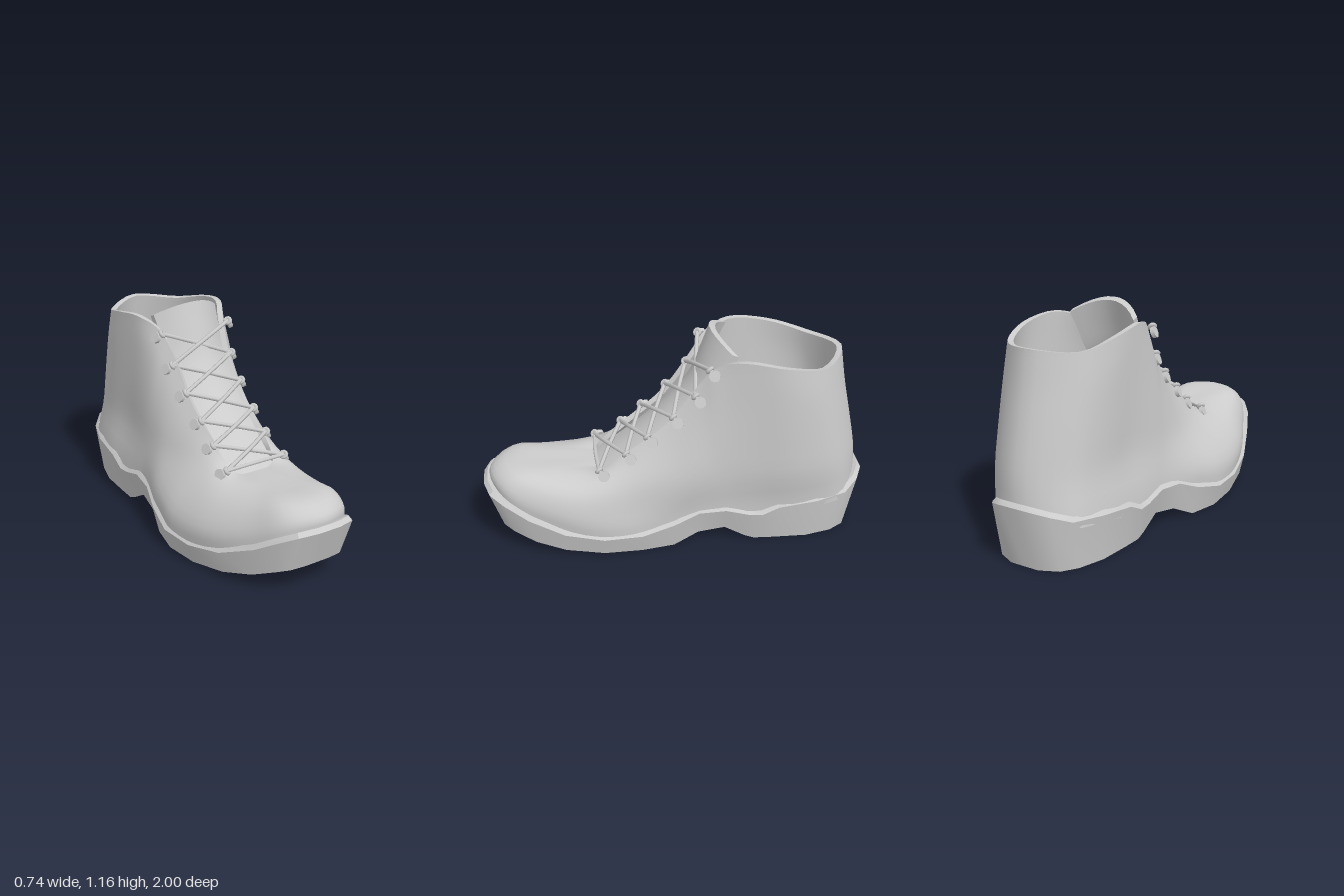
import * as THREE from 'three';
import { toCreasedNormals } from 'three/addons/utils/BufferGeometryUtils.js';

const V = (x, y, z) => new THREE.Vector3(x, y, z);
const material = new THREE.MeshStandardMaterial({ color: 0xcccccc, side: THREE.DoubleSide });

function addMesh(parent, name, geometry) {
  const mesh = new THREE.Mesh(geometry, material);
  mesh.name = name;
  parent.add(mesh);
  return mesh;
}

// Skin over closed rows of points; every row runs the same way round.
function skin(rows, crease) {
  const n = rows[0].length, index = [];
  for (let r = 0; r < rows.length - 1; r++) {
    for (let i = 0; i < n; i++) {
      const j = (i + 1) % n, a = r * n + i, b = r * n + j;
      index.push(a, b, b + n, a, b + n, a + n);
    }
  }
  const geometry = new THREE.BufferGeometry().setFromPoints(rows.flat());
  geometry.setIndex(index);
  return toCreasedNormals(geometry, crease);
}

// Centre line of the foot: curved along the sole, leaning to the left higher up.
const SOLE_CENTRE = [0.055, 0.05, 0.04, 0.03, 0.025, 0, -0.008, 0.004, 0.018, 0.037, 0.05];
function centre(y, z) {
  const t = THREE.MathUtils.clamp((z + 1) * 5, 0, 9.999), i = Math.floor(t);
  const low = THREE.MathUtils.lerp(SOLE_CENTRE[i], SOLE_CENTRE[i + 1], t - i);
  const high = 0.05 + 0.03 * THREE.MathUtils.smoothstep(-z, 0.15, 0.55);
  return THREE.MathUtils.lerp(low, high, THREE.MathUtils.smoothstep(y, 0.2, 0.48));
}

// Columns of the upper from sole to top edge: half width, y, z.
const FOREFOOT = [
  [[0, .34, .965], [0, .41, .965], [0, .465, .88], [0, .445, .64], [0, .43, .42]],
  [[.17, .31, .9], [.17, .39, .895], [.15, .453, .82], [.07, .445, .62], [.05, .43, .42]],
  [[.25, .21, .75], [.255, .31, .735], [.215, .405, .69], [.125, .437, .57], [.09, .43, .41]],
  [[.325, .12, .5], [.332, .23, .5], [.28, .355, .48], [.2, .425, .44], [.125, .45, .385]],
  [[.345, .09, .25], [.342, .21, .25], [.285, .365, .24], [.215, .48, .24], [.15, .56, .245]],
  [[.315, .12, .05], [.317, .26, .05], [.275, .44, .04], [.22, .6, .04], [.16, .72, .048]],
];
const SHAFT = [
  [[.29, .18, -.15], [.288, .38, -.14], [.265, .6, -.12], [.218, .8, -.11], [.165, .91, -.09]],
  [[.286, .19, -.28], [.283, .42, -.26], [.27, .68, -.22], [.237, .9, -.19], [.2, 1.04, -.19]],
  [[.288, .16, -.42], [.283, .45, -.4], [.28, .7, -.36], [.268, .95, -.32], [.258, 1.085, -.31]],
  [[.287, .2, -.65], [.285, .45, -.64], [.288, .7, -.6], [.288, .9, -.57], [.282, 1.06, -.52]],
  [[.225, .22, -.88], [.22, .45, -.84], [.223, .7, -.785], [.222, .88, -.745], [.215, 1.015, -.72]],
  [[0, .25, -.975], [0, .45, -.96], [0, .66, -.92], [0, .85, -.88], [0, 1.03, -.85]],
];

function upperGeometry() {
  const half = [...FOREFOOT, ...SHAFT];
  const mirrored = half.slice(1, -1).reverse().map(col => col.map(([x, y, z]) => [-x, y, z]));
  const columns = [...half, ...mirrored];
  const around = columns.length * 4, up = 14;
  const rings = [0, 1, 2, 3, 4].map(k =>
    new THREE.CatmullRomCurve3(columns.map(c => V(...c[k])), true));
  const outer = Array.from({ length: up + 1 }, () => []);
  for (let i = 0; i < around; i++) {
    const column = new THREE.CatmullRomCurve3(rings.map(r => r.getPoint(i / around)));
    for (let k = 0; k <= up; k++) {
      const p = column.getPoint(k / up);
      p.x += centre(p.y, p.z);
      outer[k].push(p);
    }
  }
  // lining: the outside moved inwards along its normals
  const inner = outer.map((row, k) => row.map((p, i) => {
    const du = row[(i + 1) % around].clone().sub(row[(i + around - 1) % around]);
    const dv = outer[Math.min(k + 1, up)][i].clone().sub(outer[Math.max(k - 1, 0)][i]);
    return p.clone().addScaledVector(du.cross(dv).normalize(), -0.028);
  }));
  return skin([...outer, ...inner.reverse()], 0.9);
}

// Sole stations, toe to heel: z, y, half width at the bottom, then at the top edge.
const SOLE = [
  [.925, .155, .07, 1, .36, .06],
  [.91, .15, .15, .97, .35, .16],
  [.86, .13, .195, .9, .31, .215],
  [.75, .08, .245, .78, .235, .265],
  [.6, .04, .295, .6, .155, .322],
  [.4, .01, .325, .4, .115, .354],
  [.2, 0, .325, .2, .115, .358],
  [.03, 0, .295, .03, .155, .33],
  [-.1, .065, .27, -.1, .21, .305],
  [-.24, .085, .26, -.24, .22, .3],
  [-.35, .02, .26, -.36, .185, .3],
  [-.4, 0, .26, -.43, .18, .303],
  [-.5, 0, .262, -.52, .225, .304],
  [-.68, 0, .26, -.72, .245, .29],
  [-.82, 0, .225, -.88, .255, .24],
  [-.9, 0, .175, -.96, .29, .17],
  [-.945, 0, .08, -1, .31, .09],
];

function soleGeometry() {
  const rows = SOLE.map(([zb, yb, wb, zt, yt, wt]) => {
    const b = centre(0, zb), t = centre(0, zt), zi = zt * 0.98;
    return [
      V(b + wb, yb, zb), V(b - wb, yb, zb), V(t - wt, yt, zt),
      V(t - wt * 0.95, yt + 0.02, zi), V(t + wt * 0.95, yt + 0.02, zi), V(t + wt, yt, zt),
    ];
  });
  // each end closes on its own middle line
  const cap = row => {
    const middle = (row[0].x + row[1].x) / 2;
    return row.map(p => V(middle, p.y, p.z));
  };
  return skin([cap(rows[0]), ...rows, cap(rows.at(-1))], 0.6);
}

// Tongue: an arched strip that follows the throat and rises above it.
function tongueGeometry() {
  const path = new THREE.CatmullRomCurve3([
    V(0, .395, .44), V(0, .54, .245), V(0, .71, .06),
    V(0, .885, -.075), V(0, 1.04, -.135), V(0, 1.16, -.175)]);
  const rows = [], steps = 18, across = 10;
  for (let k = 0; k <= steps; k++) {
    const t = k / steps, p = path.getPoint(t);
    const width = THREE.MathUtils.lerp(0.14, 0.19, t), arch = THREE.MathUtils.lerp(0.03, 0.085, t);
    const strip = depth => Array.from({ length: across + 1 }, (_, i) => {
      const s = i / across * 2 - 1, lift = s * s;
      return V(0.055 + s * width, p.y - lift * 0.065 * t * t - depth * 0.4, p.z - lift * arch - depth);
    });
    rows.push([...strip(0), ...strip(0.032).reverse()]);
  }
  rows.push(rows.at(-1).map((p, i, row) => p.clone().lerp(row[row.length - 1 - i], 0.5)));
  return skin(rows, 0.8);
}

// Hook positions, top to bottom: offset from the centre line, y, z.
const HOOKS = [[.228, 1.005, -.17], [.208, .85, -.105], [.195, .73, .005],
  [.187, .62, .135], [.187, .525, .245], [.2, .445, .385]];
const knot = (i, s) => V(0.05 + s * (HOOKS[i][0] - 0.025), HOOKS[i][1] + 0.022, HOOKS[i][2] + 0.022);

function addHook(parent, i, s) {
  const [dx, y, z] = HOOKS[i];
  const hook = new THREE.Group();
  hook.name = s > 0 ? 'leftHook' : 'rightHook';
  parent.add(hook);
  const disc = addMesh(hook, 'hookDisc', new THREE.CylinderGeometry(0.029, 0.029, 0.02, 10));
  disc.position.set(0.05 + s * dx, y, z);
  disc.quaternion.setFromUnitVectors(V(0, 1, 0), V(s * 0.9, 0.36, 0.24).normalize());
  const stem = new THREE.LineCurve3(disc.position.clone(), knot(i, s));
  addMesh(hook, 'hookStem', new THREE.TubeGeometry(stem, 1, 0.011, 6));
  // lace wrapped round the stem
  const wrap = addMesh(hook, 'laceWrap', new THREE.TorusGeometry(0.015, 0.01, 6, 10));
  wrap.position.copy(knot(i, s));
  wrap.quaternion.setFromUnitVectors(V(0, 0, 1), stem.getTangent(0));
}

function addLace(parent, a, b, bulge) {
  const mid = a.clone().lerp(b, 0.5).add(V(0, 0.6 * bulge, 0.8 * bulge));
  const curve = new THREE.CatmullRomCurve3([a, mid, b]);
  addMesh(parent, 'lace', new THREE.TubeGeometry(curve, 12, 0.011, 6));
}

export function createModel() {
  const boot = new THREE.Group();
  boot.name = 'boot';
  addMesh(boot, 'sole', soleGeometry());
  addMesh(boot, 'upper', upperGeometry());
  addMesh(boot, 'tongue', tongueGeometry());

  const lacing = new THREE.Group();
  lacing.name = 'lacing';
  boot.add(lacing);
  const last = HOOKS.length - 1;
  for (const s of [1, -1]) {
    for (let i = 0; i <= last; i++) {
      addHook(lacing, i, s);
      if (i < last) addLace(lacing, knot(i, s), knot(i + 1, -s), 0.016 + s * 0.012);
    }
  }
  addLace(lacing, knot(last, 1), knot(last, -1), 0.01);
  return boot;
}
